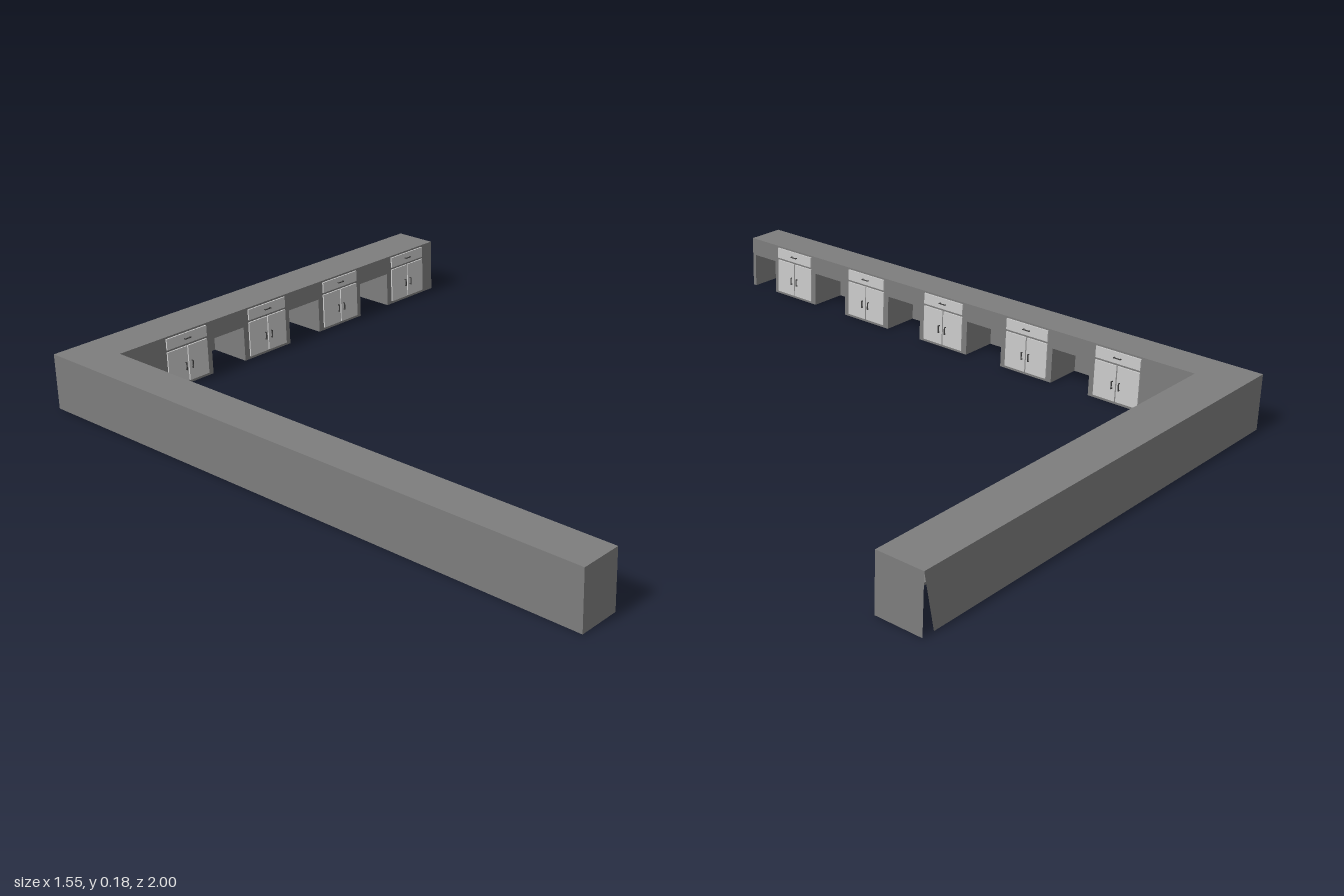
import * as THREE from 'three';

const H = 0.18, HOLE_H = 0.118, CAB_W = 0.162;
const X0 = -0.777, X1 = 0.777, XI = -0.645, ZI = -0.85;

const body = new THREE.MeshStandardMaterial({ color: 0x7d7d7d, side: THREE.DoubleSide });
const panel = new THREE.MeshStandardMaterial({ color: 0xcccccc });
const metal = new THREE.MeshStandardMaterial({ color: 0x444444 });

const points = (pts) => pts.map(([x, y]) => new THREE.Vector2(x, y));
const rect = (x0, y0, x1, y1) => points([[x0, y0], [x1, y0], [x1, y1], [x0, y1]]);

// Thin flat sheet from an outline with optional cut-outs
function sheet(name, pts, holes = []) {
  const shape = new THREE.Shape(pts);
  holes.forEach((h) => shape.holes.push(new THREE.Path(h.slice().reverse())));
  const mesh = new THREE.Mesh(new THREE.ShapeGeometry(shape), body);
  mesh.name = name;
  return mesh;
}

function box(name, mat, x0, y0, z0, x1, y1, z1) {
  const mesh = new THREE.Mesh(new THREE.BoxGeometry(x1 - x0, y1 - y0, z1 - z0), mat);
  mesh.name = name;
  mesh.position.set((x0 + x1) / 2, (y0 + y1) / 2, (z0 + z1) / 2);
  return mesh;
}

// Bar pull with two short posts, centred at (x, y)
function handle(x, y, vertical) {
  const g = new THREE.Group();
  g.name = 'handle';
  const half = 0.013, t = 0.0015;
  g.add(box('handleBar', metal, -half, -t, 0.009, half, t, 0.012));
  for (const s of [-1, 1]) {
    const p = s * (half - t);
    g.add(box('handlePost', metal, p - t, -t, 0.004, p + t, t, 0.01));
  }
  g.position.set(x, y, 0);
  if (vertical) g.rotation.z = Math.PI / 2;
  return g;
}

// One drawer above a pair of doors
function cabinetFront(u) {
  const g = new THREE.Group();
  g.name = 'cabinetFront';
  g.position.x = u;
  const w = CAB_W / 2, gap = 0.002, back = -0.002, front = 0.005;
  g.add(box('drawer', panel, -w, 0.137, back, w, 0.174, front));
  g.add(box('leftDoor', panel, gap, 0.01, back, w, 0.129, front));
  g.add(box('rightDoor', panel, -w, 0.01, back, -gap, 0.129, front));
  g.add(handle(0, 0.156, false), handle(-0.013, 0.064, true), handle(0.013, 0.064, true));
  return g;
}

// Straight run of cabinets: front face at z = 0, running along x
function counterRun(name, u0, u1, depth, cabinets, kneeHoles) {
  const g = new THREE.Group();
  g.name = name;
  const outline = [[u0, 0]];
  for (const [a, b] of kneeHoles) outline.push([a, 0], [a, HOLE_H], [b, HOLE_H], [b, 0]);
  outline.push([u1, 0], [u1, H], [u0, H]);
  const w = CAB_W / 2 - 0.002;
  const openings = cabinets.flatMap((u) => [
    rect(u - w, 0.139, u + w, 0.172),
    rect(u - w, 0.012, u + w, 0.127),
  ]);
  g.add(sheet('frontWall', points(outline), openings));
  cabinets.forEach((u) => g.add(cabinetFront(u)));

  // Knee spaces lined with two sides and a ceiling
  for (const [a, b] of kneeHoles) {
    for (const u of [a, b]) {
      const side = sheet('kneeSpaceSide', rect(0, 0, depth, HOLE_H));
      side.rotation.y = Math.PI / 2;
      side.position.x = u;
      g.add(side);
    }
    const ceiling = sheet('kneeSpaceCeiling', rect(a, 0, b, depth));
    ceiling.rotation.x = -Math.PI / 2;
    ceiling.position.y = HOLE_H;
    g.add(ceiling);
  }
  return g;
}

export function createModel() {
  const model = new THREE.Group();
  model.name = 'cornerCounter';

  // L-shaped worktop
  const top = sheet('worktop', points([[X0, -1], [XI, -1], [XI, -ZI], [X1, -ZI], [X1, 1], [X0, 1]]));
  top.rotation.x = -Math.PI / 2;
  top.position.y = H;
  model.add(top);

  // Outer walls and ends; the rear wall's far edge is slanted
  const rear = sheet('rearWall', points([[X0, 0], [X1 - 0.042, 0], [X1, H], [X0, H]]));
  rear.position.z = -1;
  rear.rotation.y = 0;
  const outer = sheet('sideWall', rect(-1, 0, 1, H));
  outer.rotation.y = Math.PI / 2;
  outer.position.x = X0;
  const longEnd = sheet('longRunEnd', rect(X0, 0, XI, H));
  longEnd.position.z = 1;
  const shortEnd = sheet('shortRunEnd', rect(-ZI, 0, 1, H));
  shortEnd.rotation.y = Math.PI / 2;
  shortEnd.position.x = X1;
  model.add(rear, outer, longEnd, shortEnd);

  // Short run along the back
  const step = 0.343;
  const shortRun = counterRun('shortRun', XI, X1, 1 + ZI,
    [0, 1, 2, 3].map((i) => -0.387 + i * step),
    [0, 1, 2].map((i) => [-0.285 + i * step, -0.146 + i * step]));
  shortRun.position.z = ZI;

  // Long run along the side, local x pointing to -z
  const longRun = counterRun('longRun', -1, -ZI, XI - X0,
    [0, 1, 2, 3, 4].map((i) => -0.785 + i * step),
    [[-0.987, -0.885], ...[0, 1, 2, 3].map((i) => [-0.686 + i * step, -0.544 + i * step])]);
  longRun.rotation.y = Math.PI / 2;
  longRun.position.x = XI;

  model.add(shortRun, longRun);
  return model;
}
